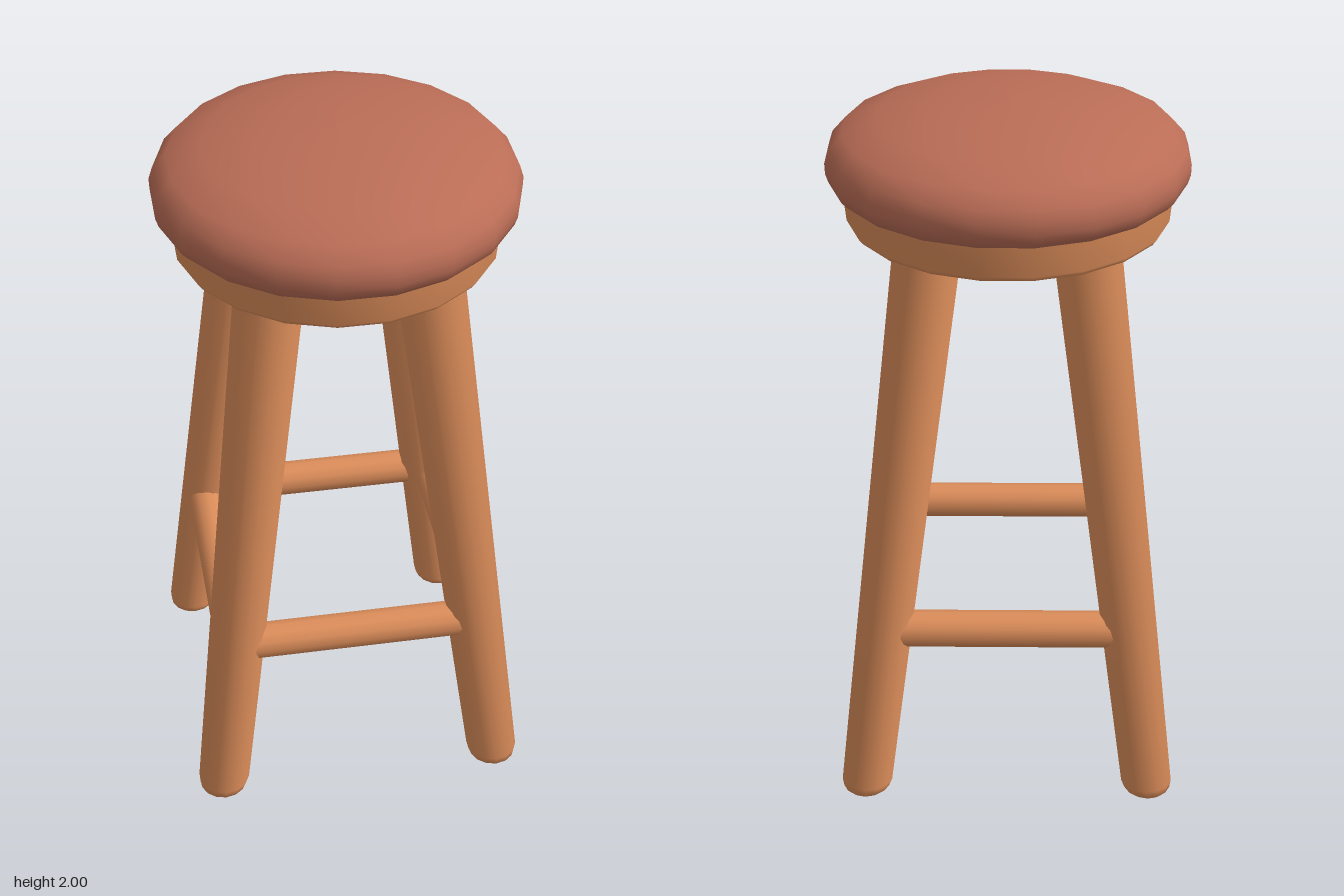
import * as THREE from 'three';

const wood = new THREE.MeshStandardMaterial({ color: 0xdc8d5a });
wood.name = 'warm wood';
const leather = new THREE.MeshStandardMaterial({ color: 0xba6d56 });
leather.name = 'red brown leather';

// Turned part from [radius, height] points, listed bottom to top
function turned(name, points, sides, phase, material) {
  const profile = points.map(([r, y]) => new THREE.Vector2(r, y));
  const mesh = new THREE.Mesh(new THREE.LatheGeometry(profile, sides, phase), material);
  mesh.name = name;
  return mesh;
}

export function createModel() {
  const stool = new THREE.Group();
  stool.name = 'stool';
  const phase = Math.PI / 20;

  // Domed cushion
  stool.add(turned('cushion', [
    [0, 1.765], [0.465, 1.765], [0.474, 1.767], [0.491, 1.785], [0.499, 1.81],
    [0.5, 1.84], [0.489, 1.875], [0.452, 1.917], [0.36, 1.955],
    [0.24, 1.98], [0.12, 1.995], [0, 2],
  ], 20, phase, leather));

  // Wooden seat disc with a rounded lower edge
  stool.add(turned('seatBase', [
    [0, 1.65], [0.41, 1.65], [0.418, 1.651], [0.436, 1.658], [0.446, 1.672],
    [0.455, 1.765], [0.455, 1.768], [0.45, 1.77], [0, 1.77],
  ], 20, phase, wood));

  const legs = new THREE.Group();
  legs.name = 'legs';
  const legProfile = [
    [0, 0.004], [0.05, 0.004], [0.055, 0.005], [0.068, 0.016], [0.075, 0.04],
    [0.095, 1.66], [0, 1.66],
  ];
  for (const sx of [-1, 1]) {
    for (const sz of [-1, 1]) {
      // Tapered leg leaning in towards the seat, with a level foot
      const leg = turned('leg', legProfile, 14, 0, wood);
      const p = leg.geometry.attributes.position;
      for (let i = 0; i < p.count; i++) {
        const offset = 0.416 - 0.122 * p.getY(i);
        p.setX(i, p.getX(i) + sx * offset);
        p.setZ(i, p.getZ(i) + sz * offset);
      }
      legs.add(leg);
    }
  }
  stool.add(legs);

  // Square of four round rungs
  const rungs = new THREE.Group();
  rungs.name = 'rungs';
  const rungGeometry = new THREE.CylinderGeometry(0.053, 0.053, 0.7, 12);
  rungGeometry.rotateZ(Math.PI / 2);
  for (let i = 0; i < 4; i++) {
    const angle = (i * Math.PI) / 2;
    const rung = new THREE.Mesh(rungGeometry, wood);
    rung.name = 'rung';
    rung.rotation.y = angle;
    rung.position.set(Math.sin(angle) * 0.361, 0.53, Math.cos(angle) * 0.361);
    rungs.add(rung);
  }
  stool.add(rungs);
  return stool;
}
